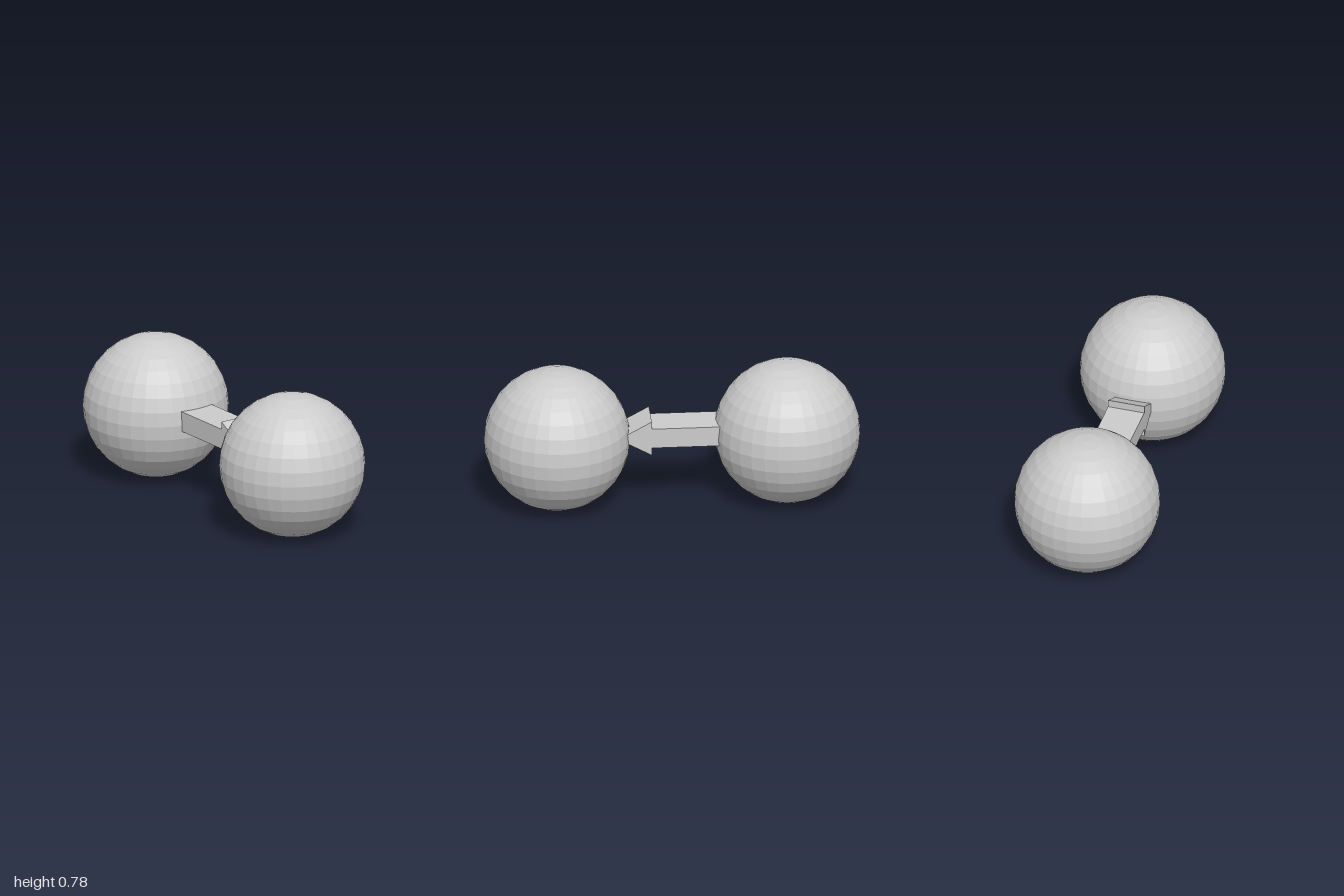
import * as THREE from 'three';

const RADIUS = 0.388, CENTRE_Y = 0.39, CENTRE_Z = 0.612;

export function createModel() {
  const model = new THREE.Group();
  model.name = 'linkedSpheres';
  const material = new THREE.MeshStandardMaterial({ color: 0xcccccc, flatShading: true });

  // Two faceted spheres, front and back
  const sphereGeometry = new THREE.SphereGeometry(RADIUS, 32, 16);
  for (const [name, side] of [['frontSphere', 1], ['backSphere', -1]]) {
    const sphere = new THREE.Mesh(sphereGeometry, material);
    sphere.name = name;
    sphere.position.set(0, CENTRE_Y, side * CENTRE_Z);
    model.add(sphere);
  }

  // Thick arrow profile pointing along +x, turned to point to the front
  const shaft = 0.055, head = 0.097, tail = -0.3, neck = 0.115, tip = 0.292;
  const profile = new THREE.Shape([
    [tail, -shaft], [neck, -shaft], [neck, -head], [tip, 0],
    [neck, head], [neck, shaft], [tail, shaft],
  ].map(([x, y]) => new THREE.Vector2(x, y)));
  const width = 0.2;
  const arrowGeometry = new THREE.ExtrudeGeometry(profile, { depth: width, bevelEnabled: false });
  arrowGeometry.translate(0, 0, -width / 2);
  arrowGeometry.rotateY(-Math.PI / 2);
  const arrow = new THREE.Mesh(arrowGeometry, material);
  arrow.name = 'connectingArrow';
  arrow.position.y = 0.413;
  model.add(arrow);

  return model;
}
